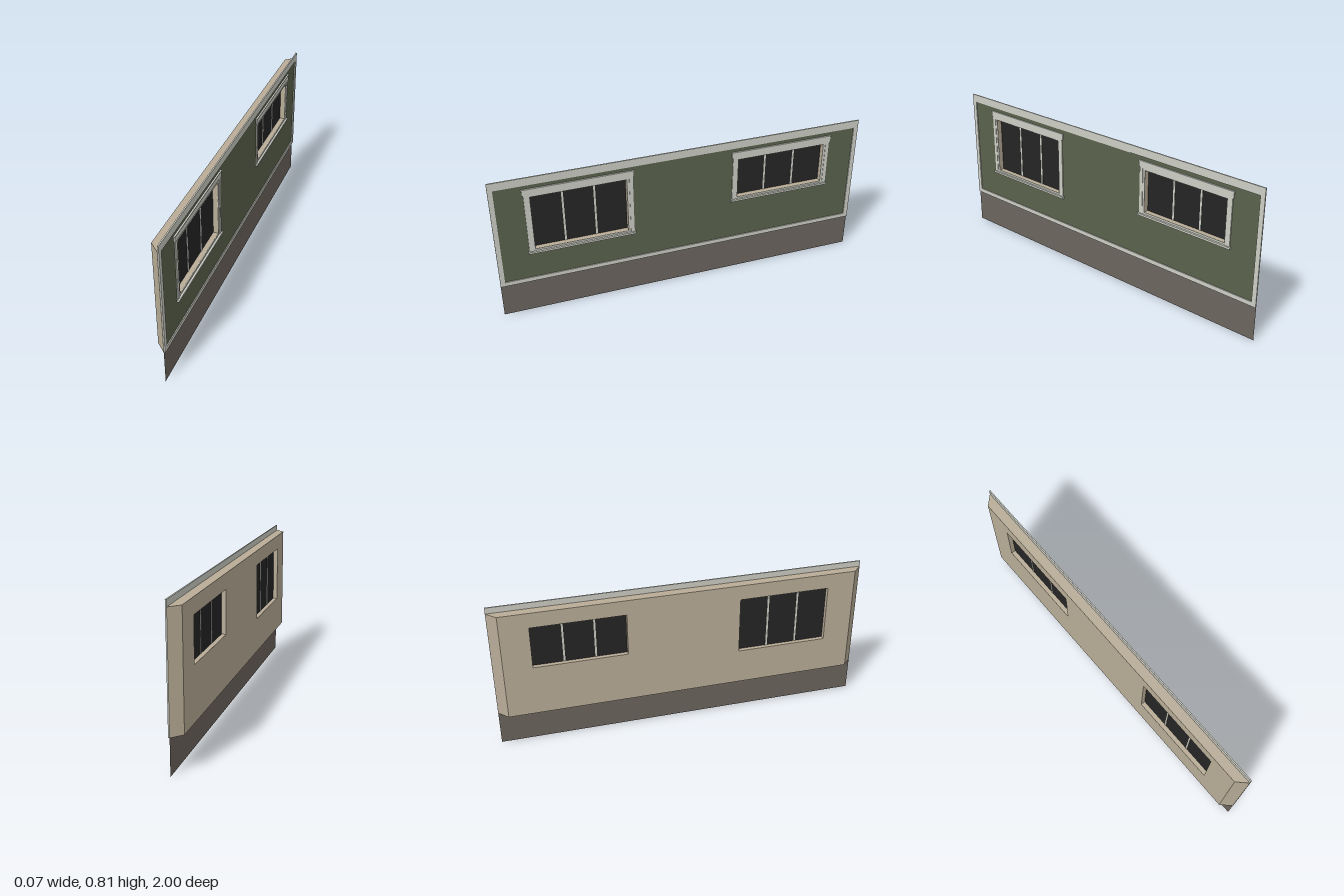
import * as THREE from 'three';

const material = (name, color) => new THREE.MeshStandardMaterial({ name, color });

// Rectangles are [z0, z1, y0, y1]
function trace(path, [z0, z1, y0, y1]) {
  path.moveTo(-z1, y0);
  path.lineTo(-z0, y0);
  path.lineTo(-z0, y1);
  path.lineTo(-z1, y1);
  path.closePath();
  return path;
}

// Upright slab between two x positions, with rectangular openings
function slab(name, mat, x0, x1, rect, holes = []) {
  const shape = trace(new THREE.Shape(), rect);
  for (const h of holes) shape.holes.push(trace(new THREE.Path(), h));
  const geo = new THREE.ExtrudeGeometry(shape, { depth: x1 - x0, bevelEnabled: false });
  geo.rotateY(Math.PI / 2).translate(x0, 0, 0);
  const mesh = new THREE.Mesh(geo, mat);
  mesh.name = name;
  return mesh;
}

export function createModel() {
  const plaster = material('beige plaster', 0xb9ad98);
  const siding = material('green siding', 0x5a634d);
  const trim = material('pale trim', 0xcdcec5);
  const stone = material('grey brown base', 0x6c655e);
  stone.side = THREE.DoubleSide;
  const glass = material('dark glass', 0x252525);

  const model = new THREE.Group();
  model.name = 'wallPanel';

  const BACK = -0.034, FACE = 0.017, FRONT = 0.024;
  const windows = [
    { name: 'tallWindow', z0: 0.305, z1: 0.8, y0: 0.382, y1: 0.694 },
    { name: 'shortWindow', z0: -0.8, z1: -0.305, y0: 0.463, y1: 0.694 },
  ];
  const openings = windows.map((w) => [w.z0, w.z1, w.y0, w.y1]);

  // Inner wall with mitred ends
  const wall = slab('innerWall', plaster, BACK, FACE, [-1, 1, 0.186, 0.776], openings);
  const p = wall.geometry.attributes.position;
  for (let i = 0; i < p.count; i++) {
    if (p.getX(i) < 0 && Math.abs(p.getZ(i)) > 0.99) p.setZ(i, Math.sign(p.getZ(i)) * 0.95);
  }
  wall.geometry.computeVertexNormals();
  model.add(wall);

  // Siding and its border
  const field = [-0.975, 0.975, 0.21, 0.765];
  model.add(slab('siding', siding, FACE, 0.019, field, openings));
  model.add(slab('borderTrim', trim, FACE, FRONT, [-1, 1, 0.186, 0.808], [field]));

  // Foundation skirt
  const skirt = new THREE.Mesh(new THREE.PlaneGeometry(2, 0.186), stone);
  skirt.name = 'foundationSkirt';
  skirt.rotation.y = Math.PI / 2;
  skirt.position.set(FACE, 0.093, 0);
  model.add(skirt);

  for (const { name, z0, z1, y0, y1 } of windows) {
    const g = new THREE.Group();
    g.name = name;
    const open = [z0, z1, y0, y1];
    const inner = [z0 - 0.012, z1 + 0.012, y0 - 0.01, y1 + 0.012];
    const outer = [z0 - 0.031, z1 + 0.031, y0 - 0.011, y1 + 0.03];

    // Stepped casing around the opening
    g.add(slab('casingStep', trim, 0.018, 0.0215, inner, [open]));
    g.add(slab('casing', trim, 0.018, FRONT, outer, [inner]));
    g.add(slab('headBoard', trim, 0.018, 0.025, [z0 - 0.037, z1 + 0.037, y1 + 0.014, y1 + 0.044]));
    g.add(slab('headCap', trim, 0.018, 0.0275, [z0 - 0.041, z1 + 0.041, y1 + 0.044, y1 + 0.049]));
    g.add(slab('sill', trim, 0.018, 0.032, [z0 - 0.037, z1 + 0.037, y0 - 0.021, y0 - 0.01]));

    // Glass and its bars
    g.add(slab('glass', glass, -0.01, -0.008, open));
    for (const t of [1 / 3, 2 / 3]) {
      const z = z0 + (z1 - z0) * t;
      g.add(slab('mullion', trim, -0.012, -0.006, [z - 0.005, z + 0.005, y0, y1]));
    }
    model.add(g);
  }
  return model;
}
